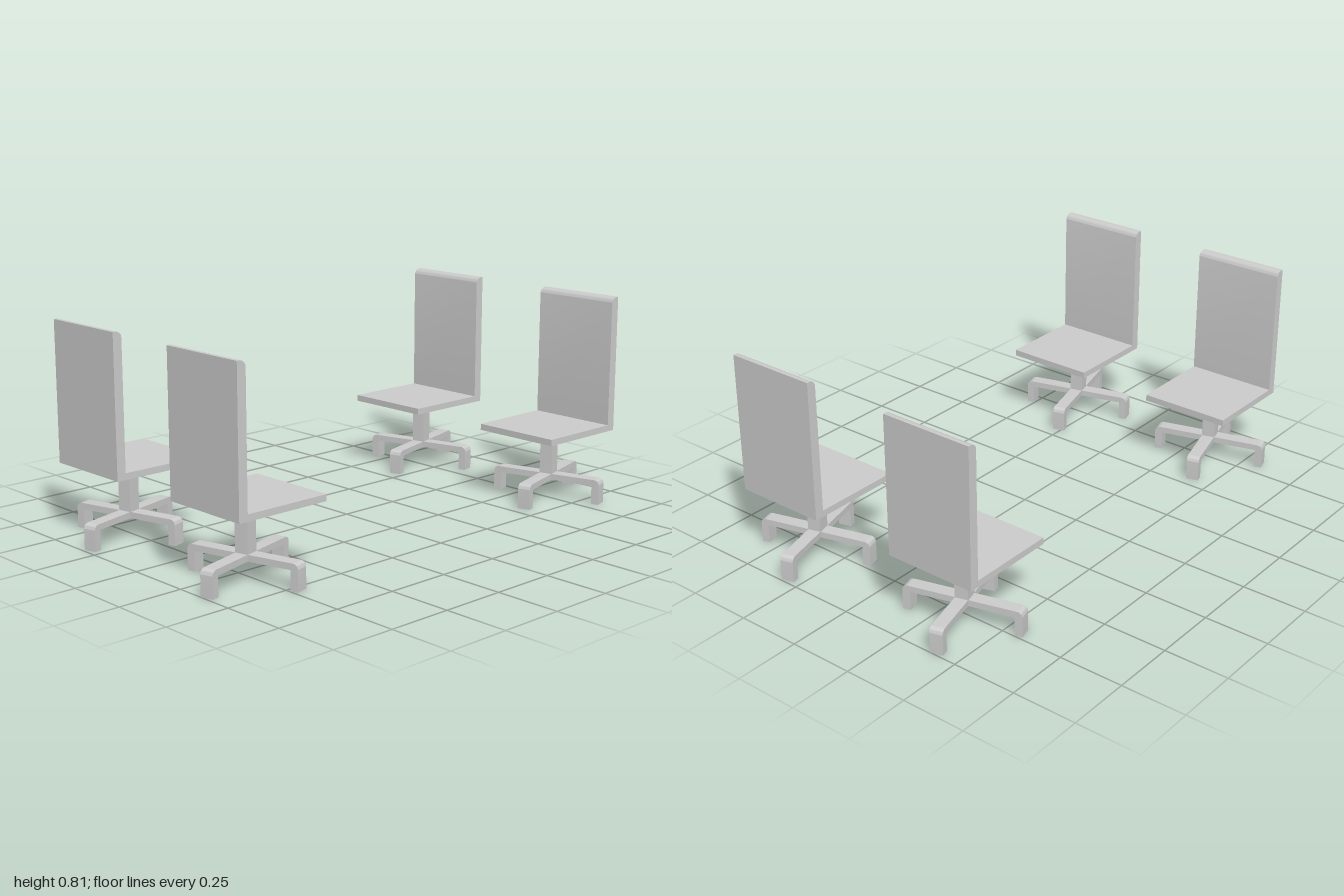
import * as THREE from 'three';
import { toCreasedNormals } from 'three/addons/utils/BufferGeometryUtils.js';

const material = new THREE.MeshStandardMaterial({ color: 0xcccccc });

function addMesh(parent, name, geometry, x = 0, y = 0, z = 0) {
  const mesh = new THREE.Mesh(geometry, material);
  mesh.name = name;
  mesh.position.set(x, y, z);
  parent.add(mesh);
  return mesh;
}

// Extrude a side profile along z, centred on z = 0
function extrudeProfile(shape, width) {
  const geometry = new THREE.ExtrudeGeometry(shape, { depth: width, bevelEnabled: false, curveSegments: 5 });
  return toCreasedNormals(geometry.translate(0, 0, -width / 2), 0.6);
}

// Bar with a foot turned down at each end, outer top corners rounded
function footBarGeometry() {
  const L = 0.227, foot = 0.03, low = 0.074, top = 0.098, r = 0.02;
  const s = new THREE.Shape();
  s.moveTo(-L, 0);
  s.lineTo(-L + foot, 0);
  s.lineTo(-L + foot, low);
  s.lineTo(L - foot, low);
  s.lineTo(L - foot, 0);
  s.lineTo(L, 0);
  s.lineTo(L, top - r);
  s.absarc(L - r, top - r, r, 0, Math.PI / 2, false);
  s.lineTo(-L + r, top);
  s.absarc(-L + r, top - r, r, Math.PI / 2, Math.PI, false);
  s.closePath();
  return extrudeProfile(s, 0.05);
}

// Upright panel whose front top edge is rounded
function backrestGeometry() {
  const back = -0.175, front = -0.139, low = 0.273, top = 0.808, r = 0.025;
  const s = new THREE.Shape();
  s.moveTo(back, low);
  s.lineTo(front, low);
  s.lineTo(front, top - r);
  s.absarc(front - r, top - r, r, 0, Math.PI / 2, false);
  s.lineTo(back, top);
  s.closePath();
  return extrudeProfile(s, 0.362);
}

// One chair, facing +x
function createChair() {
  const chair = new THREE.Group();
  chair.name = 'chair';

  // Seat and backrest
  addMesh(chair, 'seat', new THREE.BoxGeometry(0.346, 0.025, 0.362), 0.034, 0.2855, 0);
  addMesh(chair, 'backrest', backrestGeometry());

  // Four-footed base and column, turned slightly against the seat
  const base = new THREE.Group();
  base.name = 'base';
  base.rotation.y = 0.27;
  const bar = footBarGeometry();
  for (let i = 0; i < 2; i++) {
    addMesh(base, 'footBar', bar).rotation.y = i * Math.PI / 2;
  }
  addMesh(base, 'column', new THREE.BoxGeometry(0.052, 0.196, 0.052), 0, 0.176, 0);
  chair.add(base);
  return chair;
}

export function createModel() {
  const group = new THREE.Group();
  group.name = 'chairSet';
  // x, z of each chair; the pairs face each other
  const places = [[-0.764, -0.36], [-0.774, 0.321], [0.775, -0.353], [0.768, 0.363]];
  for (const [x, z] of places) {
    const chair = createChair();
    chair.position.set(x, 0, z);
    chair.rotation.y = x > 0 ? Math.PI : 0;
    group.add(chair);
  }
  return group;
}
